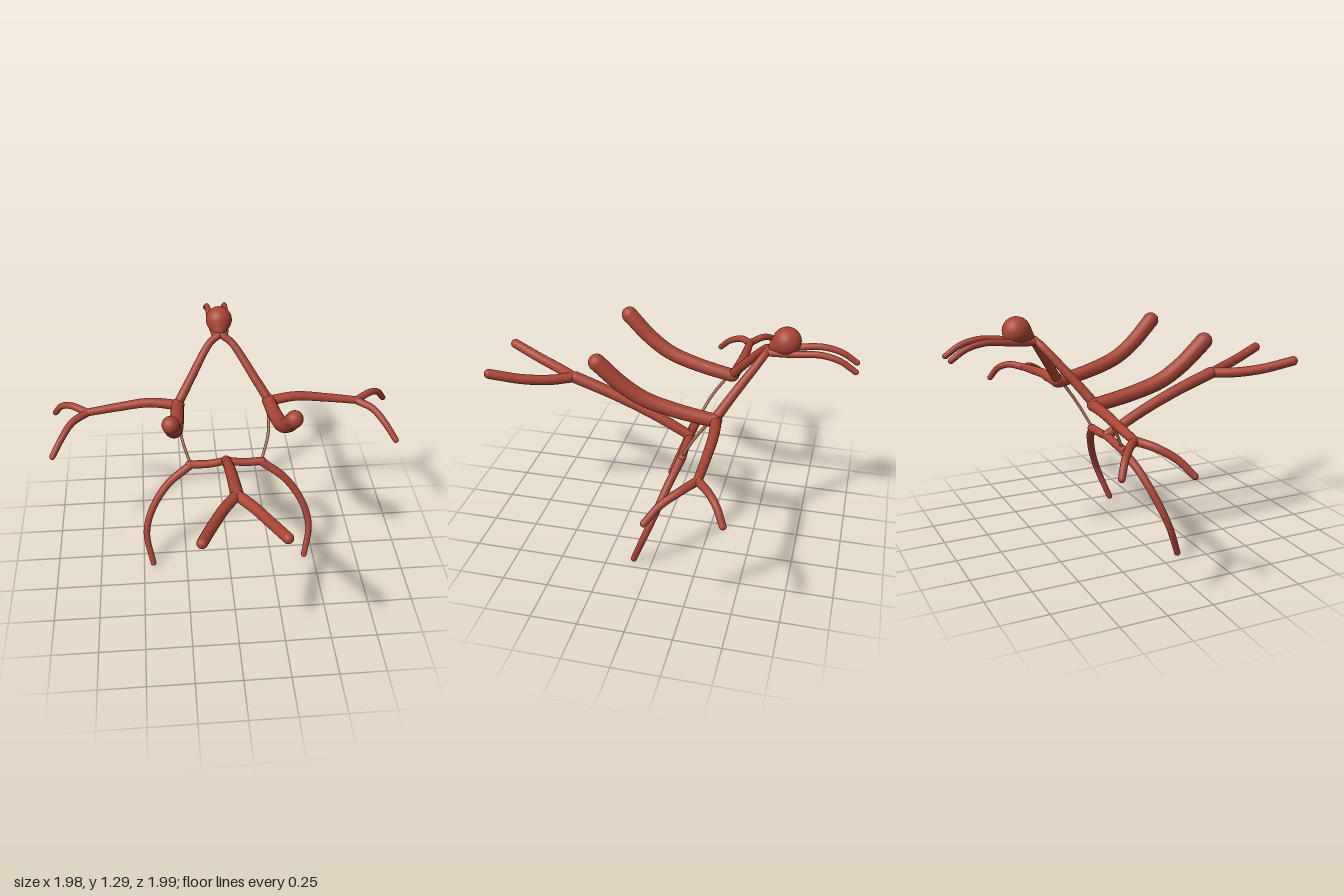
import * as THREE from 'three';

const red = new THREE.MeshStandardMaterial({ color: 0xa94436 });
red.name = 'brick red';
const tan = new THREE.MeshStandardMaterial({ color: 0xb9745f });
tan.name = 'light clay';

// Smooth tapered limb through a few points, with rounded ends
function limb(name, pts, r0, r1, mat = red) {
  const group = new THREE.Group();
  group.name = name;
  const curve = new THREE.CatmullRomCurve3(pts.map(p => new THREE.Vector3(...p)));
  const segs = 28, sides = 16;
  const geo = new THREE.TubeGeometry(curve, segs, 1, sides, false);
  const pos = geo.attributes.position;
  const v = new THREE.Vector3();
  for (let i = 0; i <= segs; i++) {
    const c = curve.getPointAt(i / segs);
    const r = r0 + (r1 - r0) * i / segs;
    for (let j = 0; j <= sides; j++) {
      const k = i * (sides + 1) + j;
      v.fromBufferAttribute(pos, k).sub(c).multiplyScalar(r).add(c);
      pos.setXYZ(k, v.x, v.y, v.z);
    }
  }
  const tube = new THREE.Mesh(geo, mat);
  tube.name = name + 'Tube';
  group.add(tube);
  group.add(ball(name + 'Start', pts[0], r0, mat), ball(name + 'Tip', pts[pts.length - 1], r1, mat));
  return group;
}

function ball(name, p, r, mat = red) {
  const m = new THREE.Mesh(new THREE.SphereGeometry(r, 20, 14), mat);
  m.name = name;
  m.position.set(...p);
  return m;
}

export function createModel() {
  const model = new THREE.Group();
  model.name = 'branchingFigure';

  // Teardrop head, pointing forward and down
  const profile = [];
  for (let i = 0; i <= 16; i++) {
    const a = -Math.PI / 2 + (i / 16) * Math.PI * 0.7;
    profile.push(new THREE.Vector2(Math.max(0, 0.075 * Math.cos(a)), 0.075 * Math.sin(a)));
  }
  profile.push(new THREE.Vector2(0.022, 0.1), new THREE.Vector2(0.012, 0.112), new THREE.Vector2(0, 0.116));
  const head = new THREE.Mesh(new THREE.LatheGeometry(profile, 28), red);
  head.name = 'head';
  head.position.set(0, 1.218, -0.617);
  head.quaternion.setFromUnitVectors(new THREE.Vector3(0, 1, 0), new THREE.Vector3(0, -0.55, 0.84).normalize());
  model.add(head);

  // Central tail
  model.add(limb('tail', [[0, 0.585, -0.11], [0, 0.695, 0.1], [0, 0.79, 0.32], [0, 0.868, 0.54]], 0.028, 0.034));

  for (const s of [1, -1]) {
    const side = s > 0 ? 'left' : 'right';
    const add = (name, pts, r0, r1, mat) =>
      model.add(limb(side + name, pts.map(([x, y, z]) => [x * s, y, z]), r0, r1, mat));

    add('Antenna', [[0.025, 1.155, -0.53], [0.042, 1.167, -0.65], [0.05, 1.182, -0.8], [0.053, 1.16, -0.9], [0.055, 1.11, -0.98]], 0.02, 0.015);
    add('Neck', [[0.01, 1.165, -0.525], [0.06, 1.135, -0.5], [0.19, 0.96, -0.37], [0.26, 0.86, -0.3]], 0.02, 0.027);

    // Shoulder, thick horn and forked arm
    model.add(ball(side + 'Shoulder', [0.26 * s, 0.855, -0.3], 0.038));
    add('Horn', [[0.262, 0.852, -0.29], [0.272, 0.89, -0.1], [0.285, 0.945, 0.07], [0.297, 1.025, 0.19], [0.311, 1.14, 0.31]], 0.037, 0.045);
    add('Arm', [[0.26, 0.85, -0.305], [0.42, 0.862, -0.325], [0.6, 0.842, -0.325], [0.78, 0.818, -0.318]], 0.03, 0.022);
    add('RearFinger', [[0.775, 0.818, -0.318], [0.87, 0.822, -0.39], [0.93, 0.79, -0.44], [0.975, 0.723, -0.478]], 0.022, 0.017);
    add('FrontFinger', [[0.775, 0.818, -0.318], [0.86, 0.8, -0.25], [0.92, 0.75, -0.17], [0.975, 0.675, -0.105]], 0.022, 0.017);

    // Thin strut from shoulder to hip
    add('Strut', [[0.255, 0.84, -0.27], [0.248, 0.71, -0.185], [0.205, 0.57, -0.115]], 0.009, 0.008, tan);

    // Hip and leg
    add('Hip', [[0, 0.58, -0.115], [0.1, 0.567, -0.11], [0.21, 0.565, -0.115]], 0.022, 0.024);
    add('Leg', [[0.2, 0.565, -0.115], [0.34, 0.465, -0.07], [0.44, 0.32, -0.015], [0.475, 0.19, 0.035], [0.446, 0.018, 0.1]], 0.024, 0.017);

    // Fork at the end of the tail
    add('TailFork', [[0, 0.87, 0.555], [0.07, 0.875, 0.66], [0.135, 0.895, 0.8], [0.197, 0.938, 0.97]], 0.029, 0.027);
  }
  return model;
}
